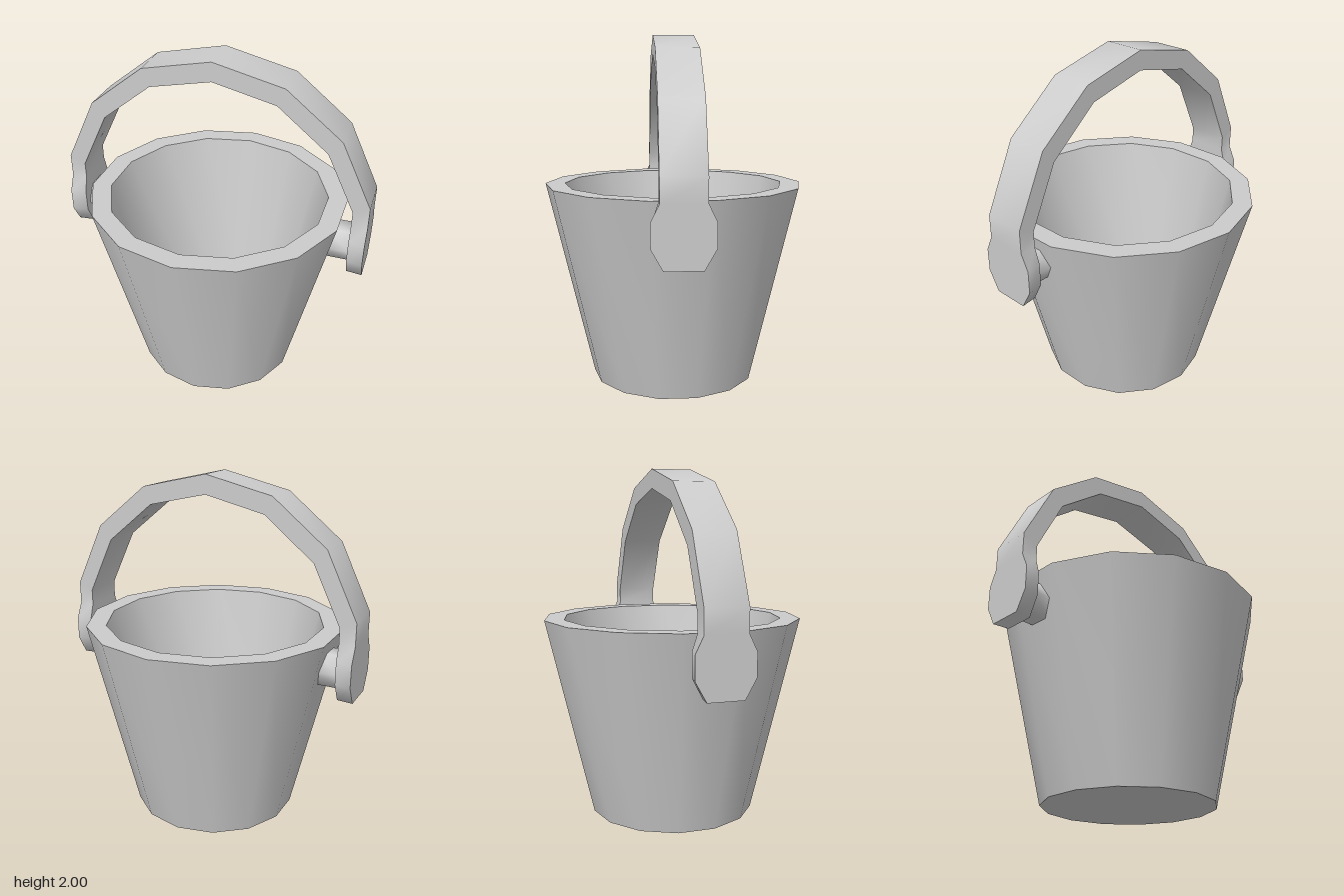
import * as THREE from 'three';
import { toCreasedNormals } from 'three/addons/utils/BufferGeometryUtils.js';

const material = new THREE.MeshStandardMaterial({ color: 0xcccccc });

function addPart(group, name, geometry, crease) {
  const mesh = new THREE.Mesh(toCreasedNormals(geometry, THREE.MathUtils.degToRad(crease)), material);
  mesh.name = name;
  group.add(mesh);
  return mesh;
}

// Bucket: tapered 14-sided wall, thick rim and inner floor
function bucketGeometry() {
  const profile = [[0, 0], [0.48, 0], [0.75, 1.15], [0.637, 1.15], [0.435, 0.2], [0, 0.2]];
  return new THREE.LatheGeometry(profile.map(([r, y]) => new THREE.Vector2(r, y)), 14);
}

// Handle: rectangular band swept over the arch, widening into a pad at each end
function handleGeometry() {
  // outer x, outer y, inner x, inner y, outer half width, inner half width
  const half = [
    [0.887, 0.83, 0.797, 0.83, 0.1, 0.09],
    [0.887, 0.94, 0.797, 0.94, 0.162, 0.147],
    [0.887, 1.07, 0.797, 1.07, 0.162, 0.147],
    [0.887, 1.16, 0.797, 1.16, 0.118, 0.118],
    [0.887, 1.29, 0.797, 1.25, 0.118, 0.118],
    [0.708, 1.66, 0.637, 1.58, 0.118, 0.118],
    [0.395, 1.91, 0.353, 1.81, 0.118, 0.118],
  ];
  const mirrored = half.map(([ox, oy, ix, iy, ow, iw]) => [-ox, oy, -ix, iy, ow, iw]).reverse();
  const stations = [...half, [0, 2, 0, 1.89, 0.118, 0.118], ...mirrored];

  const positions = [];
  for (const [ox, oy, ix, iy, ow, iw] of stations) {
    positions.push(ox, oy, ow, ox, oy, -ow, ix, iy, -iw, ix, iy, iw);
  }
  const index = [0, 2, 1, 0, 3, 2];
  const last = (stations.length - 1) * 4;
  for (let k = 0; k < last; k += 4) {
    for (let j = 0; j < 4; j++) {
      const a = k + j, b = k + (j + 1) % 4;
      index.push(a, b, b + 4, a, b + 4, a + 4);
    }
  }
  index.push(last, last + 1, last + 2, last, last + 2, last + 3);

  const geometry = new THREE.BufferGeometry();
  geometry.setAttribute('position', new THREE.Float32BufferAttribute(positions, 3));
  geometry.setIndex(index);
  return geometry;
}

export function createModel() {
  const model = new THREE.Group();
  model.name = 'bucket';
  addPart(model, 'bucketBody', bucketGeometry(), 45);
  addPart(model, 'handle', handleGeometry(), 65);

  // Hexagonal pivot pins between the wall and the handle pads
  for (const [name, side] of [['leftPin', 1], ['rightPin', -1]]) {
    const pin = new THREE.CylinderGeometry(0.11, 0.11, 0.17, 6).rotateZ(Math.PI / 2);
    addPart(model, name, pin, 65).position.set(side * 0.725, 0.978, 0);
  }
  return model;
}
